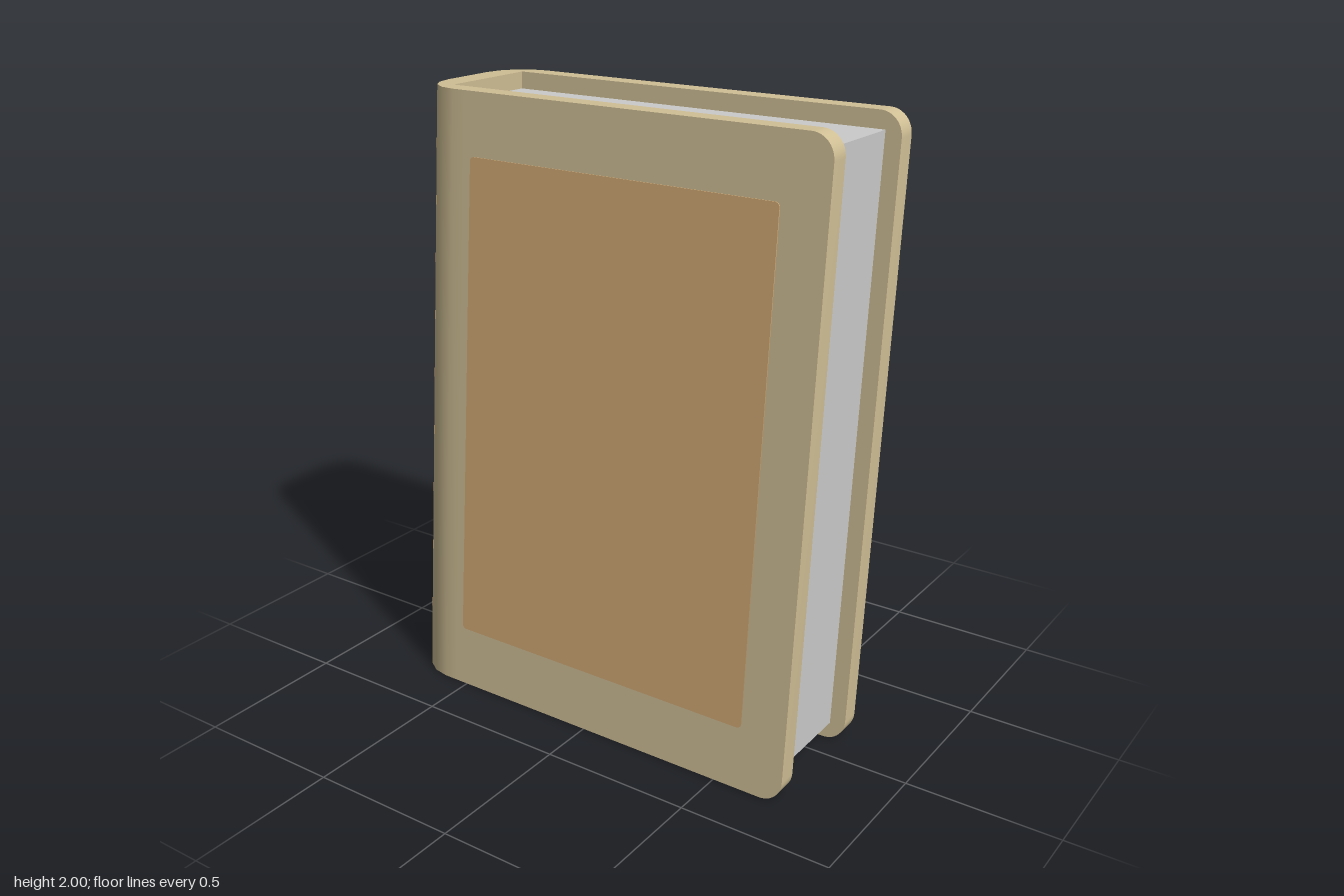
import * as THREE from 'three';
import { toCreasedNormals } from 'three/addons/utils/BufferGeometryUtils.js';

const H = 2, HALF = 0.237, INNER = 0.172;   // height, half thickness, half page thickness
const LEFT = -0.738, RIGHT = 0.738, SEAM = -0.55, R = 0.14;
const LEAN = 0.0838;

export function createModel() {
  const book = new THREE.Group();
  book.name = 'leaningBook';

  const material = (name, color) => {
    const m = new THREE.MeshStandardMaterial({ color });
    m.name = name;
    return m;
  };
  const cream = material('cream cover', 0xd0bf95);
  const orange = material('orange panel', 0xd1a974);
  const paper = material('grey paper', 0xcbcbcb);

  // Slants every part backwards while its ends stay level
  const shear = new THREE.Matrix4().set(
    1, 0, 0, 0,
    0, 1, 0, 0,
    0, -LEAN, 1, LEAN,
    0, 0, 0, 1);
  const add = (name, geometry, mat) => {
    geometry.applyMatrix4(shear);
    const mesh = new THREE.Mesh(toCreasedNormals(geometry, 0.65), mat);
    mesh.name = name;
    book.add(mesh);
  };

  // Upright plate with separate radii for its left and right corners
  const plate = (x0, x1, y0, y1, rl, rr, z0, depth) => {
    const s = new THREE.Shape();
    s.moveTo(x0 + rl, y0);
    s.lineTo(x1 - rr, y0);
    s.absarc(x1 - rr, y0 + rr, rr, -Math.PI / 2, 0);
    s.absarc(x1 - rr, y1 - rr, rr, 0, Math.PI / 2);
    if (rl > 0) {
      s.absarc(x0 + rl, y1 - rl, rl, Math.PI / 2, Math.PI);
      s.absarc(x0 + rl, y0 + rl, rl, Math.PI, Math.PI * 1.5);
    } else {
      s.lineTo(x0, y1);
      s.lineTo(x0, y0);
    }
    return new THREE.ExtrudeGeometry(s, { depth, bevelEnabled: false, curveSegments: 6 })
      .translate(0, 0, z0);
  };

  // Plan profile extruded upwards from y0 to y1
  const upright = (points, y0, y1) =>
    new THREE.ExtrudeGeometry(new THREE.Shape(points), { depth: y1 - y0, bevelEnabled: false })
      .rotateX(-Math.PI / 2).translate(0, y0, 0);

  // Rounded outside of the spine, running round both corners through the given angle
  const spineCurve = (angle, offset) => {
    const points = [], n = 4, r = R + offset;
    for (const side of [1, -1]) {
      for (let i = 0; i <= n; i++) {
        const a = angle * (side > 0 ? 1 - i / n : i / n);
        points.push(new THREE.Vector2(
          LEFT + R - r * Math.cos(a),
          side * (HALF - R + r * Math.sin(a))));
      }
    }
    return points;
  };

  // Covers with their inset panels
  const thick = HALF - INNER;
  for (const [name, side] of [['front', 1], ['back', -1]]) {
    add(name + 'Cover',
      plate(SEAM, RIGHT, 0, H, 0, 0.075, side > 0 ? INNER : -HALF, thick), cream);
    add(name + 'Panel',
      plate(-0.52, 0.585, 0.205, 1.8, 0.015, 0.015, side > 0 ? HALF - 0.002 : -HALF - 0.003, 0.005), orange);
  }

  // Spine wrapping round the pages
  const v = (x, z) => new THREE.Vector2(x, z);
  add('spine', upright([
    v(SEAM, HALF), ...spineCurve(Math.PI / 2, 0), v(SEAM, -HALF),
    v(SEAM, -INNER), v(-0.65, -INNER), v(-0.65, INNER), v(SEAM, INNER),
  ], 0, H), cream);

  // Three spine panels separated by cream bands
  const spinePanels = [
    ['lowerSpinePanel', 0.06, 0.11],
    ['middleSpinePanel', 0.17, 1.83],
    ['upperSpinePanel', 1.89, 1.94],
  ];
  for (const [name, y0, y1] of spinePanels) {
    const outline = [...spineCurve(Math.PI / 6, 0.003), ...spineCurve(Math.PI / 6, -0.003).reverse()];
    add(name, upright(outline, y0, y1), orange);
  }

  // Page block
  add('pages', new THREE.BoxGeometry(1.335, 1.89, INNER * 2).translate(0.0175, 1, 0), paper);

  return book;
}
